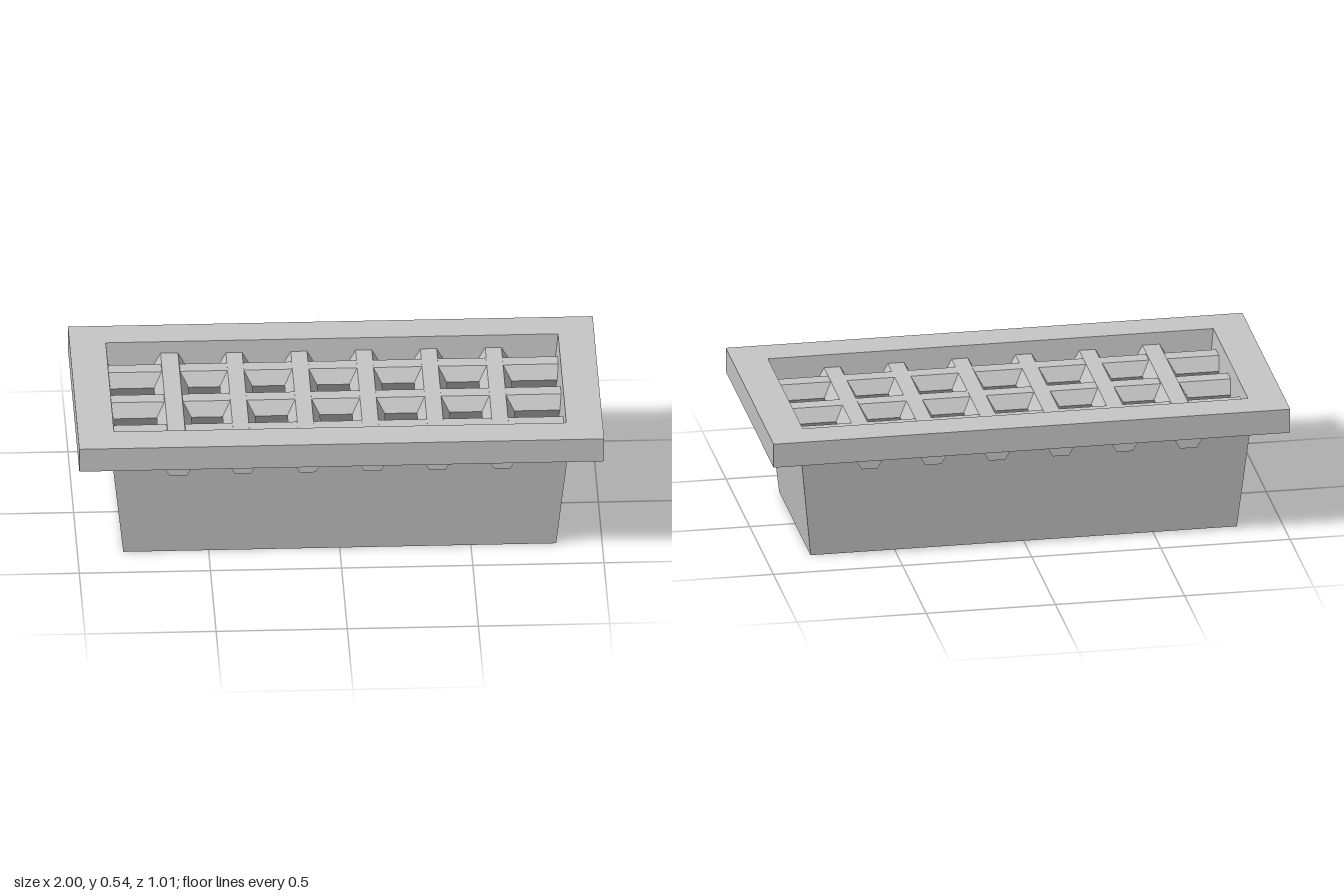
import * as THREE from 'three';

const grey = new THREE.MeshStandardMaterial({ color: 0xc6c6c6 });

// Rectangular rings [halfX, y, halfZ] joined by flat walls, outside facing out when going down
function rectLoft(name, rings) {
  const corners = [[1, 1], [1, -1], [-1, -1], [-1, 1]];
  const at = ([hx, y, hz], i) => {
    const [sx, sz] = corners[i % 4];
    return [sx * hx, y, sz * hz];
  };
  const points = [];
  for (let r = 0; r < rings.length - 1; r++) {
    for (let i = 0; i < 4; i++) {
      const a0 = at(rings[r], i), a1 = at(rings[r], i + 1);
      const b0 = at(rings[r + 1], i), b1 = at(rings[r + 1], i + 1);
      points.push(...a0, ...b0, ...b1, ...a0, ...b1, ...a1);
    }
  }
  const geometry = new THREE.BufferGeometry();
  geometry.setAttribute('position', new THREE.Float32BufferAttribute(points, 3));
  geometry.computeVertexNormals();
  const mesh = new THREE.Mesh(geometry, grey);
  mesh.name = name;
  return mesh;
}

// Six-sided bar with a flat top, along z or along x
function hexBar(name, radius, length, alongX) {
  let geometry = new THREE.CylinderGeometry(radius, radius, length, 6, 1, false, Math.PI / 6);
  geometry.rotateX(Math.PI / 2);
  if (alongX) geometry.rotateY(Math.PI / 2);
  geometry = geometry.toNonIndexed();
  geometry.computeVertexNormals();
  const mesh = new THREE.Mesh(geometry, grey);
  mesh.name = name;
  mesh.position.y = 0.431;
  return mesh;
}

export function createModel() {
  const group = new THREE.Group();
  group.name = 'drainGrate';
  const opening = [0.862, 0.535, 0.366];

  // Tapered open duct with a thin wall
  group.add(rectLoft('duct', [
    [0.88, 0.515, 0.388],
    [0.825, 0, 0.331],
    [0.805, 0, 0.311],
    opening,
  ]));

  // Overhanging rim: top, skirt, lip, inside of the skirt and underside
  group.add(rectLoft('rim', [
    opening,
    [1, 0.535, 0.505],
    [1, 0.439, 0.505],
    [0.96, 0.439, 0.465],
    [0.96, 0.515, 0.465],
    [0.88, 0.515, 0.388],
  ]));

  // Long bars
  for (let i = -1; i <= 1; i++) {
    const bar = hexBar('longBar', 0.0615, 1.79, true);
    bar.position.z = i * 0.247;
    group.add(bar);
  }

  // Cross bars, the first one slightly thicker with a small core
  for (let i = 0; i < 6; i++) {
    const bar = hexBar('crossBar', i === 0 ? 0.066 : 0.062, 0.86, false);
    bar.position.x = -0.62 + i * 0.247;
    group.add(bar);
  }
  const core = hexBar('crossBarCore', 0.042, 0.868, false);
  core.position.x = -0.62;
  group.add(core);

  return group;
}
